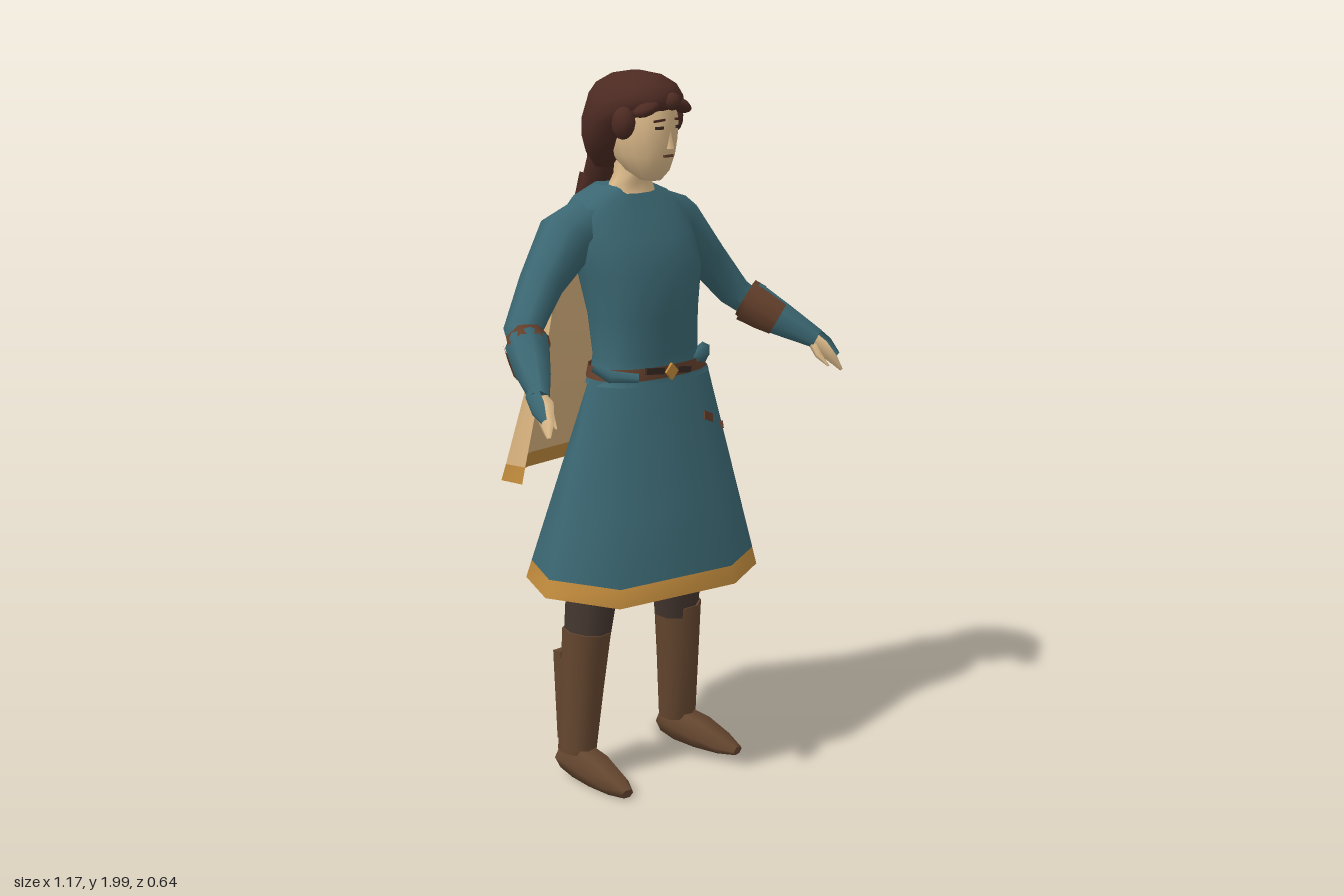
import * as THREE from 'three';

const mat = (name, color, side = THREE.FrontSide) => {
  const m = new THREE.MeshStandardMaterial({ color, side });
  m.name = name;
  return m;
};
const V = (x, y, z) => new THREE.Vector3(x, y, z);

// Skin a list of rings (arrays of Vector3); rings go round +x to +z while rising
function loft(rings, { closed = true, capStart = false, capEnd = false } = {}) {
  const n = rings[0].length, pos = [], idx = [];
  const push = p => pos.push(p.x, p.y, p.z) / 3 - 1;
  rings.forEach(r => r.forEach(push));
  for (let i = 0; i < rings.length - 1; i++) {
    for (let j = 0; j < (closed ? n : n - 1); j++) {
      const k = (j + 1) % n, a = i * n + j, b = i * n + k, c = a + n, d = b + n;
      idx.push(a, c, b, b, c, d);
    }
  }
  const cap = (ring, flip) => {
    const c = push(ring.reduce((s, p) => s.add(p), V(0, 0, 0)).divideScalar(n));
    const f = ring.map(push);
    f.forEach((v, j) => {
      const w = f[(j + 1) % n];
      flip ? idx.push(c, w, v) : idx.push(c, v, w);
    });
  };
  if (capStart) cap(rings[0], false);
  if (capEnd) cap(rings[rings.length - 1], true);
  const g = new THREE.BufferGeometry();
  g.setAttribute('position', new THREE.Float32BufferAttribute(pos, 3));
  g.setIndex(idx);
  g.computeVertexNormals();
  return g;
}

// Stacked horizontal ovals: [y, centre x, half width, back z, front z]
function stack(rows, n = 16, power = 1, caps = true) {
  const soft = v => Math.sign(v) * Math.abs(v) ** power;
  const rings = rows.map(([y, cx, rx, zb, zf]) => Array.from({ length: n }, (_, j) => {
    const t = j / n * Math.PI * 2;
    return V(cx + rx * soft(Math.cos(t)), y, (zb + zf) / 2 + (zf - zb) / 2 * soft(Math.sin(t)));
  }));
  return loft(rings, { capStart: caps, capEnd: caps });
}

// Oval tube along points [x, y, z, radius along ref, other radius]; arc limits the sweep
function limb(pts, ref, n = 8, arc = null) {
  const c = pts.map(p => V(p[0], p[1], p[2]));
  const rings = pts.map((p, i) => {
    const d = c[Math.min(i + 1, c.length - 1)].clone().sub(c[Math.max(i - 1, 0)]).normalize();
    const u = ref.clone().addScaledVector(d, -ref.dot(d)).normalize();
    const v = u.clone().cross(d);
    return Array.from({ length: n }, (_, j) => {
      const t = arc ? arc[0] + (arc[1] - arc[0]) * j / (n - 1) : j / n * Math.PI * 2;
      return c[i].clone().addScaledVector(u, p[3] * Math.cos(t)).addScaledVector(v, p[4] * Math.sin(t));
    });
  });
  return loft(rings, { closed: !arc, capStart: !arc, capEnd: !arc });
}

export function createModel() {
  const model = new THREE.Group();
  model.name = 'cloakedFigure';
  const teal = mat('tunicTeal', 0x3b6772, THREE.DoubleSide);
  const tan = mat('capeTan', 0xd8b27e, THREE.DoubleSide);
  const gold = mat('trimGold', 0xc08a3c, THREE.DoubleSide);
  const skin = mat('skin', 0xdcba8a);
  const hairM = mat('hairBrown', 0x4c2a22);
  const pants = mat('trouserBrown', 0x44362f);
  const boot = mat('bootBrown', 0x64462f);
  const leather = mat('leatherBrown', 0x633f2b, THREE.DoubleSide);
  const dark = mat('featureDark', 0x3a2a22);
  const X = V(1, 0, 0), Z = V(0, 0, 1);

  const add = (name, geo, material, parent = model) => {
    const m = new THREE.Mesh(geo, material);
    m.name = name;
    parent.add(m);
    return m;
  };
  const box = (name, size, at, material, rot = [0, 0, 0], parent = model) => {
    const m = add(name, new THREE.BoxGeometry(...size), material, parent);
    m.position.set(...at);
    m.rotation.set(...rot);
    return m;
  };

  // Skirt: an uneven polygon hem tapering to an oval waist
  const hem = [[.37, .05], [.295, .235], [.11, .32], [-.28, .255], [-.355, .04],
    [-.26, -.14], [-.1, -.195], [.12, -.195], [.28, -.14]];
  const skirtRing = t => hem.map(([x, z]) => {
    const a = Math.atan2((z - .07) / .25, x / .36);
    return V(THREE.MathUtils.lerp(x, .01 + .215 * Math.cos(a), t), .583 + .592 * t,
      THREE.MathUtils.lerp(z, .075 + .11 * Math.sin(a), t));
  });
  add('skirt', loft([.085, .4, .75, 1].map(skirtRing)), teal);
  add('skirtHem', loft([0, .085].map(skirtRing)), gold);

  // Tunic body
  add('torso', stack([
    [1.16, .01, .208, -.038, .187], [1.18, .008, .185, -.036, .18], [1.23, .005, .168, -.036, .175],
    [1.34, .005, .172, -.055, .176], [1.46, .005, .195, -.08, .174], [1.55, 0, .21, -.112, .135],
    [1.62, 0, .2, -.119, .09], [1.66, 0, .155, -.108, .066], [1.69, 0, .08, -.085, .048]], 18, .85), teal);

  // Belt, buckle and side knots
  add('belt', stack([[1.175, .008, .2, -.042, .187], [1.208, .006, .186, -.042, .185]], 18, .85, false), leather);
  box('buckle', [.034, .034, .008], [-.012, 1.19, .187], gold, [0, 0, .78]);
  for (const [x, y, w] of [[-.075, 1.2, .07], [.04, 1.188, .05]]) {
    box('beltBand', [w, .018, .008], [x, y, .185], dark, [0, 0, -.12]);
  }
  add('knotLoop', limb([[.1, 1.2, .165, .012, .015], [.155, 1.21, .145, .022, .026],
    [.205, 1.2, .1, .022, .03], [.215, 1.17, .06, .01, .014]], Z, 6), teal);
  add('sideFold', limb([[-.205, 1.215, .08, .012, .014], [-.18, 1.19, .12, .02, .02],
    [-.12, 1.185, .165, .015, .014]], Z, 6), teal);
  box('pouchPatch', [.055, .024, .008], [.13, 1.04, .192], leather, [-.22, .35, -.3]);
  box('pouchPatch', [.055, .022, .008], [.212, .998, .17], leather, [-.2, .8, -.1]);

  // Cape: open curved sheet, rows [y, half width, edge z, back z]
  const capeColumns = [[-1, 0], [-.87, .52], [-.3, .92], [.32, 1], [.56, .85], [1, 0]];
  const capeRow = ([y, w, ze, zb], i) => capeColumns.map(([u, f]) =>
    V(u * w, y - (i < 2 ? .042 * f : 0), ze + (zb - ze) * f));
  const rows = [[.885, .345, -.06, -.32], [.932, .335, -.058, -.302], [1.2, .285, -.035, -.2],
    [1.45, .225, -.04, -.168], [1.57, .125, -.08, -.15], [1.675, .05, -.105, -.145]].map(capeRow);
  add('cape', loft(rows.slice(1), { closed: false }), tan);
  add('capeHem', loft(rows.slice(0, 2), { closed: false }), gold);
  box('capeCollar', [.09, .015, .02], [0, 1.675, -.135], gold);

  // Arms and legs, mirrored
  for (const s of [1, -1]) {
    const side = new THREE.Group();
    side.name = s > 0 ? 'leftLimbs' : 'rightLimbs';
    side.scale.x = s;
    model.add(side);
    add('sleeve', limb([[.09, 1.603, -.02, .085, .073], [.212, 1.555, -.02, .082, .085],
      [.322, 1.447, -.003, .064, .058], [.417, 1.335, .025, .055, .046], [.45, 1.295, .08, .045, .042]], Z), teal, side);
    add('cuff', limb([[.438, 1.31, .07, .06, .064], [.49, 1.26, .145, .05, .05],
      [.548, 1.207, .232, .026, .03]], Z, 7), teal, side);
    // Flap of the cuff lying over the back of the hand
    add('cuffFlap', limb([[.54, 1.215, .215, .032, .032], [.56, 1.188, .255, .032, .022],
      [.574, 1.16, .285, .014, .012]], Z, 6, [.9, 2.9]), teal, side);
    // Leather showing at the cuff opening, worn wider on the left sleeve
    add('cuffLining', limb([[.43, 1.32, .058, .058, .06], [.448, 1.302, .085, .058, .06]], Z, 8, [-4, 2.28]), leather, side);
    const arc = s > 0 ? [-2.1, .5] : [-3.6, -2.1];
    add('cuffPatch', limb([[.434, 1.314, .064, .063, .067], [.462, 1.287, .105, .06, .063],
      [.486, 1.264, .139, .054, .055]], Z, 6, arc), leather, side);
    add('hand', limb([[.535, 1.222, .2, .022, .018], [.55, 1.183, .252, .034, .013],
      [.566, 1.15, .28, .024, .009], [.58, 1.12, .3, .006, .004]], Z, 6), skin, side);
    add('thumb', limb([[.535, 1.2, .222, .012, .012], [.53, 1.165, .255, .012, .01],
      [.54, 1.135, .285, .003, .003]], Z, 5), skin, side);

    add('trouserLeg', limb([[.182, .42, .025, .066, .066], [.165, .6, .035, .078, .075],
      [.115, .8, .04, .1, .085], [.1, .95, .045, .1, .085]], X, 9), pants, side);
    add('bootShaft', limb([[.205, .09, .008, .056, .055], [.195, .28, .018, .061, .064],
      [.184, .45, .027, .069, .071]], X, 9), boot, side);
    box('bootFlap', [.034, .26, .03], [.208, .245, -.046], boot, [-.06, 0, 0], side);
    add('shoe', limb([[.205, .064, -.038, .044, .042], [.207, .062, .02, .052, .054], [.214, .052, .1, .056, .048],
      [.222, .036, .18, .046, .03], [.228, .026, .232, .02, .014]], X, 6), boot, side);
  }

  // Neck and face
  add('neck', stack([[1.67, 0, .076, -.03, .072], [1.695, 0, .07, -.03, .062], [1.722, 0, .05, -.03, .075],
    [1.77, 0, .05, -.03, .08]], 10), skin);
  add('face', stack([[1.708, 0, .026, .06, .125], [1.735, 0, .056, .01, .148], [1.775, 0, .077, -.03, .16],
    [1.82, 0, .087, -.05, .167], [1.87, 0, .09, -.06, .17], [1.93, 0, .08, -.06, .16]], 16), skin);
  const nose = add('nose', new THREE.ConeGeometry(.014, .05, 4), skin);
  nose.position.set(0, 1.823, .168);
  for (const s of [-1, 1]) {
    box('eye', [.024, .008, .006], [s * .035, 1.855, .16], dark, [0, s * .25, 0]);
    box('eyebrow', [.034, .006, .006], [s * .036, 1.875, .161], hairM, [0, s * .25, s * -.1]);
  }
  box('mouth', [.034, .007, .006], [0, 1.778, .16], leather);

  // Hair: cap drawn back from the face, fringe locks, side curls and a tied tail
  add('hairCap', stack([[1.735, 0, .06, -.09, -.01], [1.775, 0, .1, -.105, .035], [1.82, 0, .122, -.112, .075],
    [1.87, 0, .13, -.114, .115], [1.908, 0, .126, -.112, .174], [1.935, 0, .117, -.106, .178],
    [1.965, 0, .096, -.085, .162], [1.99, 0, .055, -.04, .12], [2, 0, .012, .02, .06]], 18), hairM);
  const lock = (name, at, size, rz = 0) => {
    const m = add(name, new THREE.SphereGeometry(1, 10, 8), hairM);
    m.position.set(...at);
    m.scale.set(...size);
    m.rotation.z = rz;
  };
  lock('fringeLock', [0, 1.925, .174], [.024, .024, .024]);
  for (const s of [-1, 1]) {
    lock('fringeSweep', [s * .06, 1.91, .135], [.045, .02, .036], s * -.4);
    lock('sideCurl', [s * .106, 1.87, s > 0 ? .07 : .095], [.03, .045, .036], s * .1);
    add('tailTip', limb([[s * .025, 1.7, -.115, .032, .034], [s * .042, 1.635, -.132, .024, .022],
      [s * .052, 1.58, -.128, .003, .003]], X, 6), hairM);
  }
  add('hairTail', limb([[0, 1.82, -.06, .07, .05], [0, 1.74, -.088, .056, .046], [0, 1.69, -.11, .052, .042],
    [0, 1.62, -.13, .034, .026], [0, 1.555, -.125, .004, .004]], X, 9), hairM);
  return model;
}
